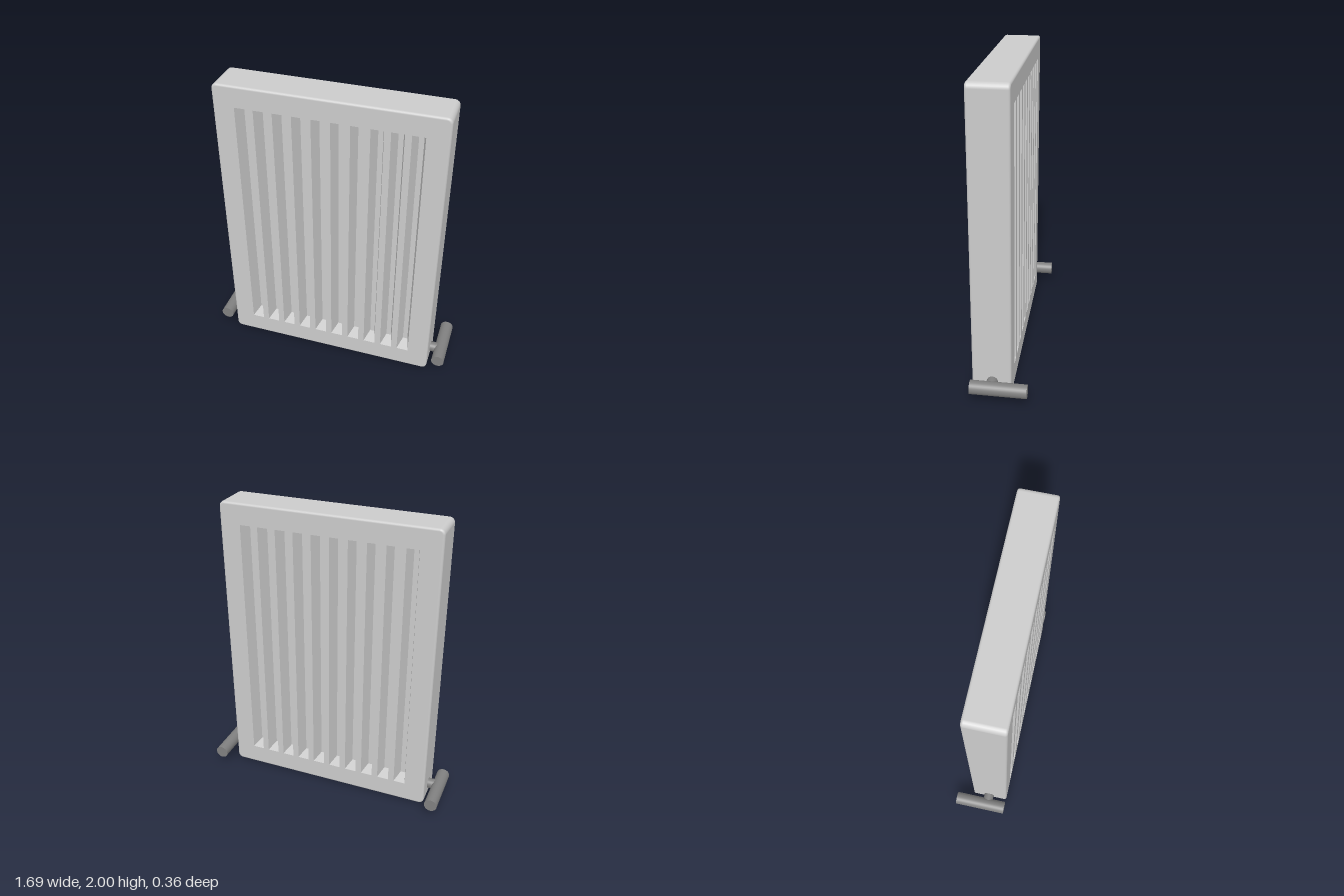
import * as THREE from 'three';

const W = 1.45, H = 2, D = 0.25;      // panel size
const R = 0.035, EDGE = 0.015;        // corner radius, edge rounding
const MID_Y = H / 2, MID_Z = 0.055;   // panel centre
const SLOTS = 10, PITCH = 0.121;
const SLOT_W = 0.08, SLOT_H = 1.72, SLOPE = 0.024, DEPTH = 0.09;

const grey = new THREE.MeshStandardMaterial({ color: 0xcccccc });
const darkGrey = new THREE.MeshStandardMaterial({ color: 0x808080 });

function add(parent, geometry, material, name) {
  const mesh = new THREE.Mesh(geometry, material);
  mesh.name = name;
  parent.add(mesh);
  return mesh;
}

// Rounded rectangle outline: corner-arc centre plus outward direction, counterclockwise
function outline() {
  const pts = [], N = 6;
  const corners = [[1, 1], [-1, 1], [-1, -1], [1, -1]];
  corners.forEach(([sx, sy], k) => {
    for (let i = 0; i <= N; i++) {
      const a = (k + i / N) * Math.PI / 2;
      pts.push({ cx: sx * (W / 2 - R), cy: sy * (H / 2 - R), dx: Math.cos(a), dy: Math.sin(a) });
    }
  });
  return pts;
}

// Rim of the panel with softly rounded front and back edges
function rimGeometry() {
  const pts = outline(), n = pts.length, rings = [], N = 5;
  for (const s of [-1, 1]) {
    for (let i = 0; i <= N; i++) {
      rings.push({ s, phi: (s < 0 ? i / N - 1 : i / N) * Math.PI / 2 });
    }
  }
  const pos = [], nor = [], idx = [];
  for (const { s, phi } of rings) {
    const c = Math.cos(phi), z = Math.sin(phi);
    for (const p of pts) {
      const r = R - EDGE + EDGE * c;
      pos.push(p.cx + p.dx * r, p.cy + p.dy * r, s * (D / 2 - EDGE) + EDGE * z);
      nor.push(p.dx * c, p.dy * c, z);
    }
  }
  for (let j = 0; j < rings.length - 1; j++) {
    for (let i = 0; i < n; i++) {
      const a = j * n + i, b = j * n + (i + 1) % n;
      idx.push(a, b, b + n, a, b + n, a + n);
    }
  }
  const g = new THREE.BufferGeometry();
  g.setAttribute('position', new THREE.Float32BufferAttribute(pos, 3));
  g.setAttribute('normal', new THREE.Float32BufferAttribute(nor, 3));
  g.setIndex(idx);
  return g;
}

// Corners of a rectangle, counterclockwise
function rect(w, h, x = 0) {
  return [[-1, -1], [1, -1], [1, 1], [-1, 1]].map(([sx, sy]) => new THREE.Vector2(x + sx * w / 2, sy * h / 2));
}

// Flat face pierced by the row of slots
function faceGeometry() {
  const r = R - EDGE;
  const shape = new THREE.Shape(outline().map(p => new THREE.Vector2(p.cx + p.dx * r, p.cy + p.dy * r)));
  for (let i = 0; i < SLOTS; i++) {
    shape.holes.push(new THREE.Path(rect(SLOT_W, SLOT_H, slotX(i)).reverse()));
  }
  return new THREE.ShapeGeometry(shape);
}

function slotX(i) {
  return (i - (SLOTS - 1) / 2) * PITCH;
}

// Groove with four sloping walls and a flat floor
function grooveGeometry() {
  const outer = rect(SLOT_W, SLOT_H).map(p => [p.x, p.y, 0]);
  const inner = rect(SLOT_W - 2 * SLOPE, SLOT_H - 2 * SLOPE).map(p => [p.x, p.y, -DEPTH]);
  const pos = [];
  const quad = (a, b, c, d) => pos.push(...a, ...b, ...c, ...a, ...c, ...d);
  for (let i = 0; i < 4; i++) {
    const j = (i + 1) % 4;
    quad(outer[i], outer[j], inner[j], inner[i]);
  }
  quad(...inner);
  const g = new THREE.BufferGeometry();
  g.setAttribute('position', new THREE.Float32BufferAttribute(pos, 3));
  g.computeVertexNormals();
  return g;
}

export function createModel() {
  const model = new THREE.Group();
  model.name = 'radiator';

  // Panel: rim plus identical grooved faces front and back
  const panel = new THREE.Group();
  panel.name = 'panel';
  panel.position.set(0, MID_Y, MID_Z);
  model.add(panel);
  add(panel, rimGeometry(), grey, 'rim');

  const face = faceGeometry(), groove = grooveGeometry();
  for (const [name, turn] of [['front', 0], ['back', Math.PI]]) {
    const side = new THREE.Group();
    side.name = name + 'Side';
    side.rotation.y = turn;
    panel.add(side);
    add(side, face, grey, name + 'Face').position.z = D / 2;
    for (let i = 0; i < SLOTS; i++) {
      add(side, groove, grey, name + 'Groove').position.set(slotX(i), 0, D / 2);
    }
  }

  // Pipe and short connector at each lower corner
  for (const [name, s] of [['left', 1], ['right', -1]]) {
    const pipe = add(model, new THREE.CylinderGeometry(0.044, 0.044, 0.36, 32), darkGrey, name + 'Pipe');
    pipe.rotation.x = Math.PI / 2;
    pipe.position.set(s * 0.8, 0.1, 0);
    const stub = add(model, new THREE.CylinderGeometry(0.035, 0.035, 0.1, 32), darkGrey, name + 'Connector');
    stub.rotation.z = Math.PI / 2;
    stub.position.set(s * 0.745, 0.1, 0.05);
  }
  return model;
}
